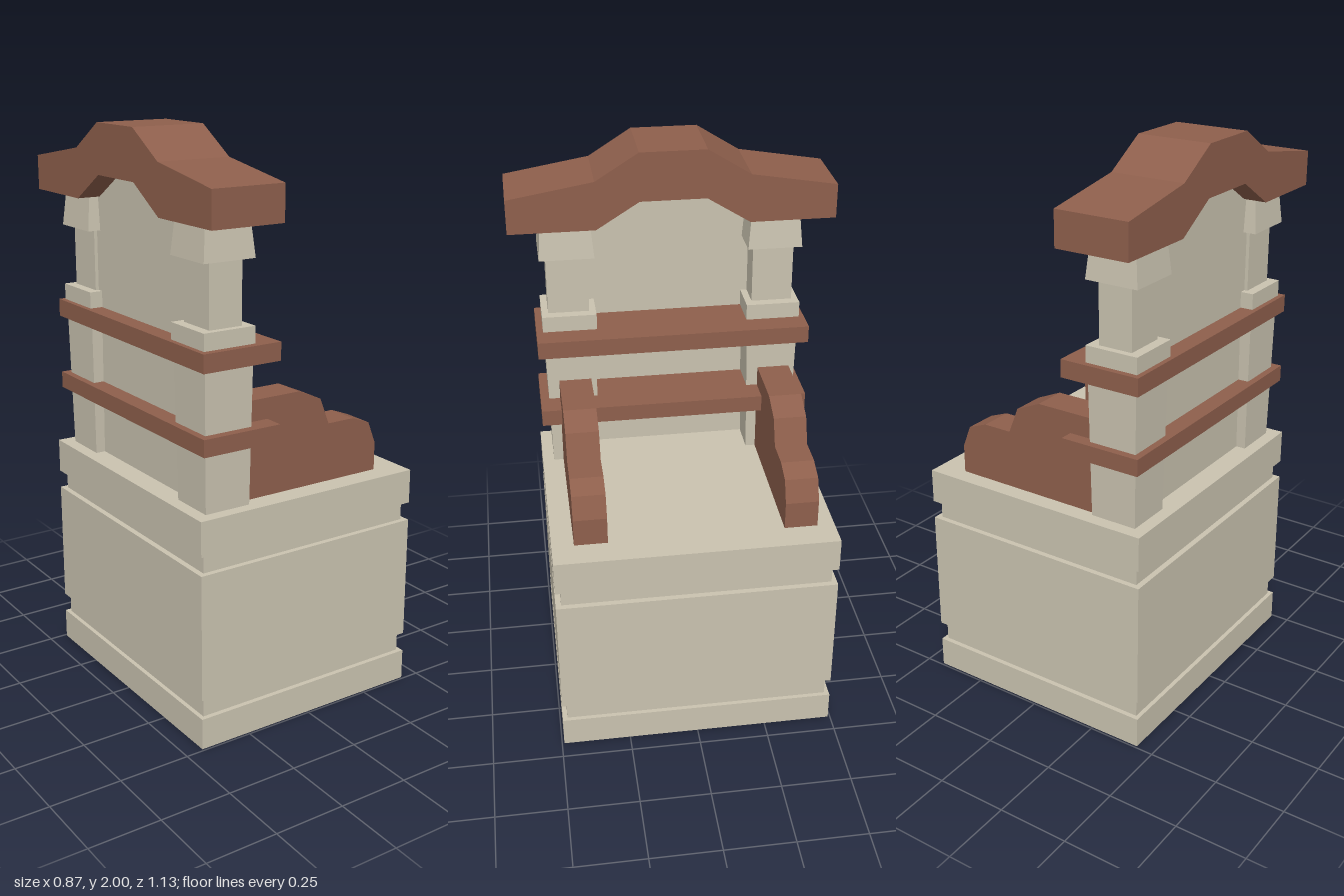
import * as THREE from 'three';

const stone = new THREE.MeshStandardMaterial({ color: 0xcac3b0, flatShading: true });
const wood = new THREE.MeshStandardMaterial({ color: 0x8e5f4c, flatShading: true });

function add(parent, name, geometry, material) {
  const mesh = new THREE.Mesh(geometry, material);
  mesh.name = name;
  parent.add(mesh);
  return mesh;
}

// Box between two corners
function block(x0, x1, y0, y1, z0, z1) {
  return new THREE.BoxGeometry(x1 - x0, y1 - y0, z1 - z0)
    .translate((x0 + x1) / 2, (y0 + y1) / 2, (z0 + z1) / 2);
}

// Four-sided block about the pillar axis with a different size at top and bottom
function taperedBlock(y0, y1, bottomX, bottomZ, topX, topZ) {
  const g = new THREE.BoxGeometry(1, y1 - y0, 1).translate(0, (y0 + y1) / 2, 0);
  const p = g.attributes.position;
  const mid = (y0 + y1) / 2;
  for (let i = 0; i < p.count; i++) {
    const top = p.getY(i) > mid;
    p.setX(i, p.getX(i) * (top ? topX : bottomX));
    p.setZ(i, p.getZ(i) * (top ? topZ : bottomZ));
  }
  g.computeVertexNormals();
  return g;
}

function extrude(points, depth) {
  const shape = new THREE.Shape(points.map(([a, b]) => new THREE.Vector2(a, b)));
  return new THREE.ExtrudeGeometry(shape, { depth, bevelEnabled: false });
}

// Profile drawn in (z, y), extruded from x0 to x1
function extrudeAlongX(points, x0, x1) {
  return extrude(points, x1 - x0).rotateY(-Math.PI / 2).translate(x1, 0, 0);
}

const mirrored = (half) => [...half, ...half.map(([a, b]) => [-a, b]).reverse()];

export function createModel() {
  const model = new THREE.Group();
  model.name = 'shrine';

  // Pedestal: stacked slabs with two recessed bands [name, y0, y1, half x, half z]
  const pedestal = new THREE.Group();
  pedestal.name = 'pedestal';
  model.add(pedestal);
  for (const [name, y0, y1, hx, hz] of [
    ['plinth', 0, 0.11, 0.435, 0.492],
    ['lowerBand', 0.11, 0.18, 0.42, 0.475],
    ['pedestalBody', 0.18, 0.623, 0.435, 0.492],
    ['upperBand', 0.623, 0.688, 0.415, 0.473],
    ['pedestalTop', 0.688, 0.81, 0.435, 0.492],
  ]) add(pedestal, name, block(-hx, hx, y0, y1, -hz, hz), stone);

  // Pillars: flared shaft, collar, slim neck and capital
  for (const [name, z] of [['leftPillar', 0.367], ['rightPillar', -0.363]]) {
    const pillar = new THREE.Group();
    pillar.name = name;
    pillar.position.set(-0.306, 0, z);
    add(pillar, 'shaft', taperedBlock(0.81, 1.35, 0.168, 0.166, 0.182, 0.186), stone);
    add(pillar, 'collar', taperedBlock(1.35, 1.407, 0.192, 0.192, 0.192, 0.192), stone);
    add(pillar, 'neck', taperedBlock(1.407, 1.62, 0.122, 0.145, 0.122, 0.145), stone);
    add(pillar, 'capital', taperedBlock(1.62, 1.745, 0.19, 0.192, 0.165, 0.17), stone);
    model.add(pillar);
  }

  // Thin wall between the pillars, following the roof's underside
  add(model, 'backWall', extrudeAlongX(mirrored([
    [0.36, 0.81], [0.36, 1.75], [0.265, 1.75], [0.115, 1.84],
  ]), -0.355, -0.343), stone);

  // Shelves
  for (const [name, y0, y1] of [['lowerShelf', 1.017, 1.076], ['upperShelf', 1.287, 1.349]])
    add(model, name, block(-0.418, -0.127, y0, y1, -0.478, 0.486), wood);

  // Stepped side scrolls in front of the pillars
  const scroll = [
    [-0.22, 0.81], [0.333, 0.81], [0.333, 0.91], [0.302, 0.988], [0.232, 1.015],
    [0.127, 1.015], [0.09, 1.108], [0, 1.148], [-0.22, 1.148],
  ];
  for (const [name, z] of [['leftScroll', 0.299], ['rightScroll', -0.431]])
    add(model, name, extrude(scroll, 0.116).translate(0, 0, z), wood);

  // Bent roof with a raised centre
  add(model, 'roof', extrudeAlongX([
    ...mirrored([[0.115, 1.83], [0.265, 1.737], [0.564, 1.737], [0.564, 1.857], [0.265, 1.907], [0.115, 2]]),
  ], -0.438, -0.176), wood);

  return model;
}
